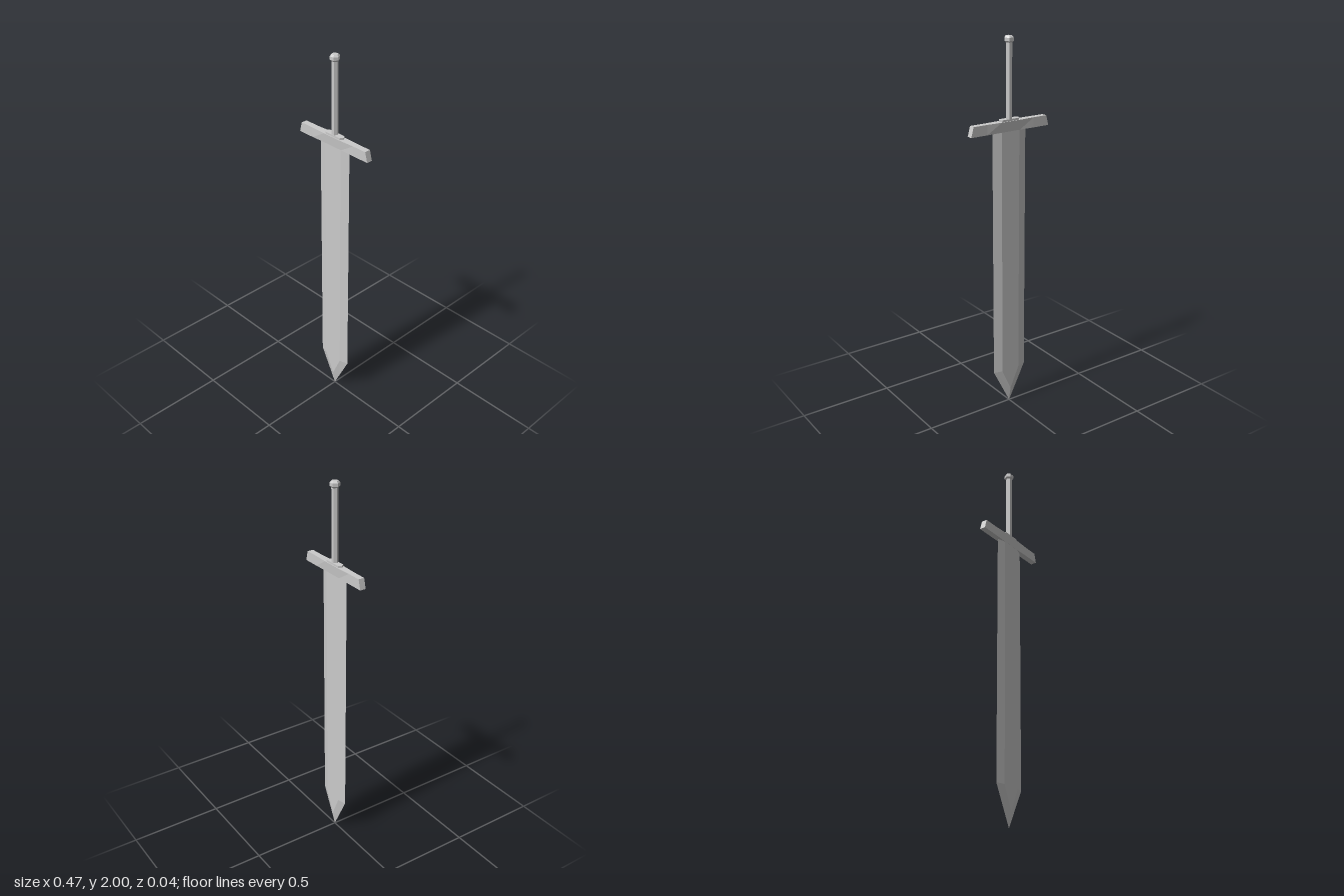
import * as THREE from 'three';

function add(group, name, geometry) {
  const mesh = new THREE.Mesh(geometry, new THREE.MeshStandardMaterial({ color: 0xcccccc, flatShading: true }));
  mesh.name = name;
  group.add(mesh);
}

// Skins a stack of six-sided cross-sections, listed from bottom to top, and caps the top.
function loft(sections) {
  const rings = sections.map(({ y, w, f, t }) => [
    [w, y, 0], [f, y, t], [-f, y, t], [-w, y, 0], [-f, y, -t], [f, y, -t],
  ]);
  const pos = [];
  const tri = (a, b, c) => pos.push(...a, ...b, ...c);
  for (let r = 0; r < rings.length - 1; r++) {
    for (let i = 0; i < 6; i++) {
      const j = (i + 1) % 6;
      const [a, b, c, d] = [rings[r][i], rings[r][j], rings[r + 1][j], rings[r + 1][i]];
      tri(a, d, c);
      tri(a, c, b);
    }
  }
  const top = rings[rings.length - 1];
  for (let i = 1; i < 5; i++) tri(top[0], top[i + 1], top[i]);
  const geo = new THREE.BufferGeometry();
  geo.setAttribute('position', new THREE.Float32BufferAttribute(pos, 3));
  geo.computeVertexNormals();
  return geo;
}

// Hexagonal turned part with its corners on the x axis.
function hexLathe(profile) {
  return new THREE.LatheGeometry(profile.map(([r, y]) => new THREE.Vector2(r, y)), 6, Math.PI / 2);
}

// Crossguard: slanted ends, swelling at the top middle and running flush into the blade below.
function guardGeometry() {
  const stations = [-0.233, -0.14, -0.056, 0, 0.056, 0.14, 0.233];
  const topDepths = [0.016, 0.016, 0.02, 0.02, 0.02, 0.016, 0.016];
  const bottomDepths = [0.016, 0.016, 0.0145, 0.0145, 0.0145, 0.016, 0.016];
  const geo = new THREE.BoxGeometry(6, 0.052, 2, 6, 1, 1);
  const p = geo.attributes.position;
  for (let i = 0; i < p.count; i++) {
    const s = Math.round(p.getX(i) + 3);
    const upper = p.getY(i) > 0;
    const slanted = upper && (s === 0 || s === 6);
    p.setX(i, slanted ? Math.sign(stations[s]) * 0.219 : stations[s]);
    p.setZ(i, Math.sign(p.getZ(i)) * (upper ? topDepths : bottomDepths)[s]);
  }
  geo.translate(0, 1.559, 0);
  geo.computeVertexNormals();
  return geo;
}

export function createModel() {
  const sword = new THREE.Group();
  sword.name = 'sword';

  // Blade: flat centre, bevelled edges, faceted point
  add(sword, 'blade', loft([
    { y: 0, w: 0, f: 0, t: 0 },
    { y: 0.08, w: 0.04, f: 0, t: 0.014 },
    { y: 0.2, w: 0.1, f: 0.053, t: 0.014 },
    { y: 1.56, w: 0.1, f: 0.053, t: 0.014 },
  ]));

  add(sword, 'crossguard', guardGeometry());

  // Collar plate on top of the guard
  add(sword, 'collar', loft([
    { y: 1.57, w: 0.06, f: 0.049, t: 0.016 },
    { y: 1.595, w: 0.06, f: 0.049, t: 0.016 },
  ]));

  // Grip and bevelled pommel
  add(sword, 'grip', hexLathe([[0.017, 1.58], [0.017, 1.98]]));
  add(sword, 'pommel', hexLathe([
    [0, 1.967], [0.018, 1.967], [0.025, 1.975], [0.025, 1.991], [0.017, 2], [0, 2],
  ]));
  return sword;
}
